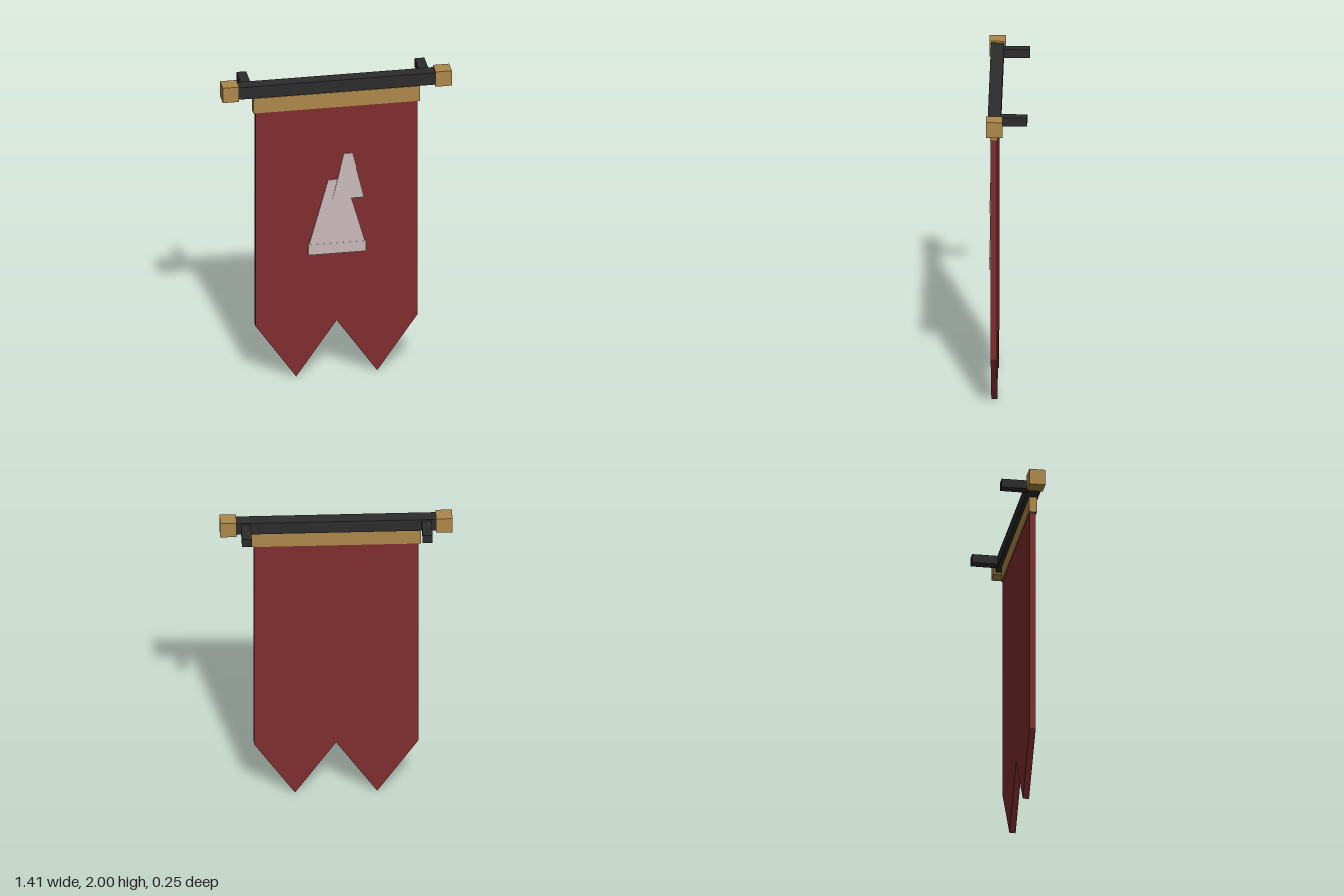
import * as THREE from 'three';

const material = (name, color) => {
  const m = new THREE.MeshStandardMaterial({ color });
  m.name = name;
  return m;
};

export function createModel() {
  const group = new THREE.Group();
  const iron = material('dark iron', 0x2c2c2c);
  const brass = material('brass', 0xad8749);
  const cloth = material('red cloth', 0x802d2f);
  const pale = material('pale emblem', 0xc9b9b9);

  const add = (name, geometry, mat, x, y, z) => {
    const mesh = new THREE.Mesh(geometry, mat);
    mesh.name = name;
    mesh.position.set(x, y, z);
    group.add(mesh);
  };
  const box = (name, mat, w, h, d, x, y, z) =>
    add(name, new THREE.BoxGeometry(w, h, d), mat, x, y, z);

  // Four-sided taper, flattened in depth; half widths at top and bottom
  const taper = (top, bottom, height, halfDepth) => {
    const g = new THREE.CylinderGeometry(top * Math.SQRT2, bottom * Math.SQRT2, height, 4, 1)
      .rotateY(Math.PI / 4)
      .scale(1, 1, halfDepth / bottom)
      .toNonIndexed();
    g.computeVertexNormals();
    return g;
  };

  // Hanging pole with end caps and wall brackets
  box('pole', iron, 1.23, 0.08, 0.08, 0, 1.95, 0.073);
  for (const [side, s] of [['left', 1], ['right', -1]]) {
    box(`${side}EndCap`, brass, 0.1, 0.1, 0.1, s * 0.657, 1.95, 0.073);
    box(`${side}Bracket`, iron, 0.06, 0.055, 0.17, s * 0.55, 1.953, -0.041);
  }

  // Band that holds the cloth
  box('topBand', brass, 1.03, 0.1, 0.048, 0, 1.853, 0.078);

  // Cloth with a swallowtail lower edge
  const outline = new THREE.Shape([
    [-0.5, 1.907], [-0.5, 0.36], [-0.25, 0], [0, 0.36], [0.25, 0], [0.5, 0.36], [0.5, 1.907],
  ].map(([x, y]) => new THREE.Vector2(x, y)));
  add('cloth', new THREE.ExtrudeGeometry(outline, { depth: 0.038, bevelEnabled: false }), cloth, 0, 0, 0.059);

  // Emblem: plinth, tapered body and offset head
  box('emblemBase', pale, 0.355, 0.07, 0.02, 0, 0.855, 0.101);
  add('emblemBody', taper(0.053, 0.172, 0.425, 0.01), pale, 0, 1.1025, 0.1);
  add('emblemHead', taper(0.026, 0.097, 0.3, 0.01), pale, 0.07, 1.335, 0.1);

  return group;
}
